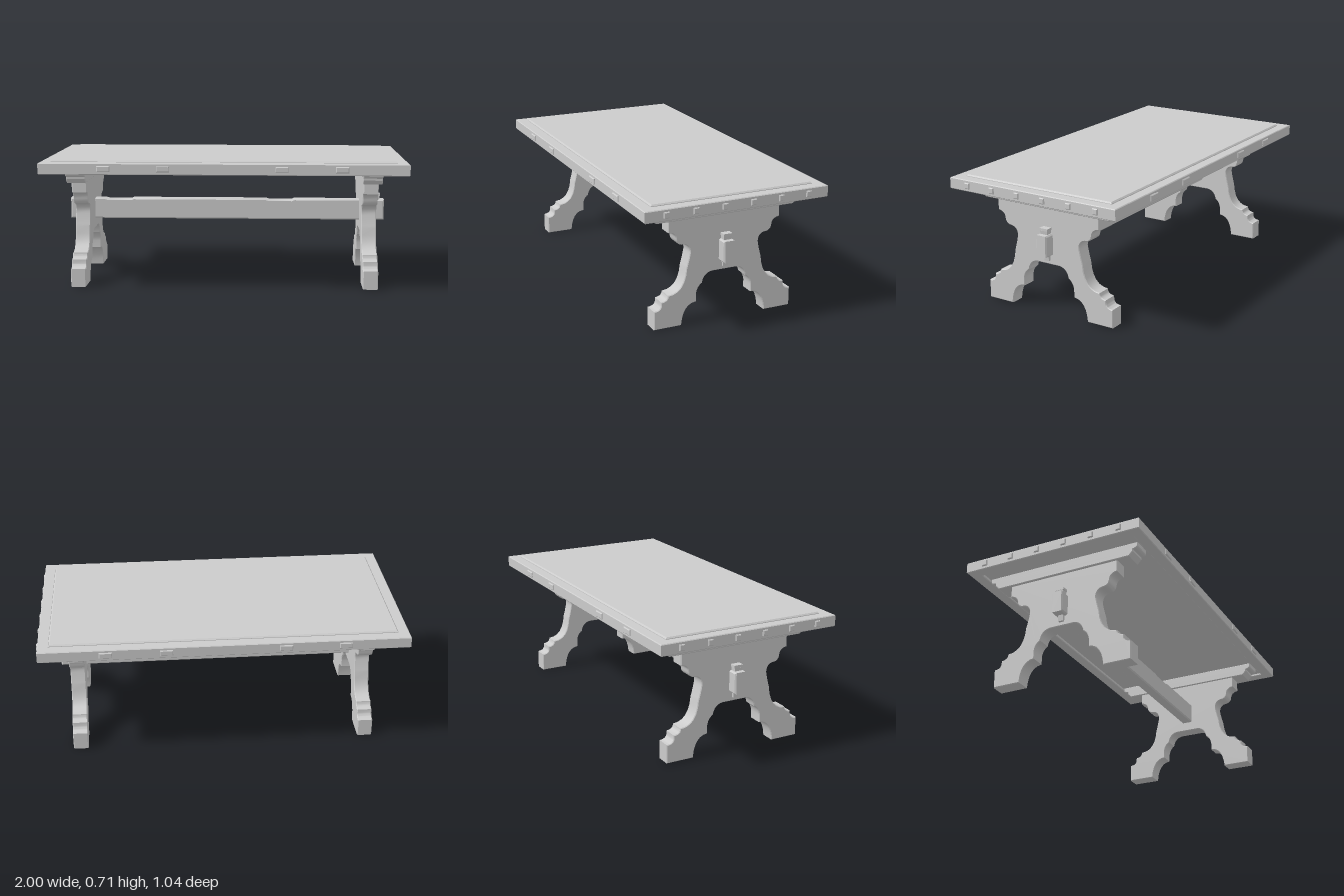
import * as THREE from 'three';
import { toCreasedNormals } from 'three/addons/utils/BufferGeometryUtils.js';

const material = new THREE.MeshStandardMaterial({ color: 0xcccccc });

function add(parent, name, geometry, x = 0, y = 0, z = 0) {
  const mesh = new THREE.Mesh(geometry, material);
  mesh.name = name;
  mesh.position.set(x, y, z);
  parent.add(mesh);
  return mesh;
}

// Extrusion centred on its depth, with small chamfers kept inside the outline
function slab(shape, thickness, bevel) {
  const geo = new THREE.ExtrudeGeometry(shape, {
    depth: thickness - 2 * bevel, bevelSize: bevel, bevelThickness: bevel,
    bevelOffset: -bevel, bevelSegments: 1, curveSegments: 6,
  });
  geo.translate(0, 0, bevel - thickness / 2);
  return toCreasedNormals(geo, 0.55);
}

function rectangle(Target, hx, hy) {
  return new Target([[-hx, -hy], [hx, -hy], [hx, hy], [-hx, hy]].map(p => new THREE.Vector2(...p)));
}

// Outline mirrored about the centre line; four numbers make a curve, two a line
function mirroredShape(start, steps) {
  const path = new THREE.Path();
  path.moveTo(...start);
  for (const s of steps) s.length === 4 ? path.quadraticCurveTo(...s) : path.lineTo(...s);
  const half = path.getPoints(6);
  const other = half.map(p => new THREE.Vector2(-p.x, p.y)).reverse();
  return new THREE.Shape([...half, ...other]);
}

// Box whose lower end is narrowed, with its inner face kept upright
function wedge(width, height, depth, lowWidth, lowDepth) {
  const geo = new THREE.BoxGeometry(width, height, depth);
  geo.translate(width / 2, 0, 0);
  const pos = geo.attributes.position;
  for (let i = 0; i < pos.count; i++) {
    if (pos.getY(i) < 0) {
      pos.setX(i, pos.getX(i) * lowWidth / width);
      pos.setZ(i, pos.getZ(i) * lowDepth / depth);
    }
  }
  geo.computeVertexNormals();
  return geo;
}

export function createModel() {
  const table = new THREE.Group();
  table.name = 'trestleTable';

  // Table top: a frame around a slightly raised panel
  const top = new THREE.Group();
  top.name = 'tableTop';
  table.add(top);
  const frameShape = rectangle(THREE.Shape, 0.992, 0.515);
  frameShape.holes.push(rectangle(THREE.Path, 0.93, 0.453));
  add(top, 'topFrame', slab(frameShape, 0.062, 0.004).rotateX(-Math.PI / 2), 0, 0.671);
  add(top, 'topPanel', slab(rectangle(THREE.Shape, 0.932, 0.455), 0.06, 0.007).rotateX(-Math.PI / 2), 0, 0.681);

  // Pegs standing proud of the frame edges
  const longPeg = slab(rectangle(THREE.Shape, 0.035, 0.016), 0.03, 0.004);
  const endPeg = slab(rectangle(THREE.Shape, 0.015, 0.016), 0.03, 0.004).rotateY(Math.PI / 2);
  for (const side of [-1, 1]) {
    for (const x of [-0.64, -0.32, 0.315, 0.635]) add(top, 'longSidePeg', longPeg, x, 0.672, side * 0.507);
    for (let i = 0; i < 6; i++) add(top, 'endPeg', endPeg, side * 0.985, 0.672, -0.4 + i * 0.16);
  }

  // Scrolled trestle, from the top corner down to the foot and up the inner arch
  const legShape = mirroredShape([0.32, 0.585], [
    [0.32, 0.517], [0.278, 0.512, 0.276, 0.478],
    [0.272, 0.443, 0.235, 0.443], [0.198, 0.438, 0.197, 0.395],
    [0.205, 0.35, 0.217, 0.311], [0.227, 0.18, 0.32, 0.178],
    [0.32, 0.15, 0.358, 0.147],
    [0.359, 0.126], [0.365, 0.102, 0.399, 0.102],
    [0.399, 0], [0.244, 0],
    [0.235, 0.115, 0.16, 0.118], [0.16, 0.16],
    [0.155, 0.2, 0.127, 0.216], [0.118, 0.268, 0.07, 0.274],
  ]);
  const legGeo = slab(legShape, 0.083, 0.004).rotateY(Math.PI / 2);

  // Moulded bearer under the top
  const cleatShape = mirroredShape([0.443, 0.652], [
    [0.443, 0.629], [0.438, 0.618, 0.416, 0.615],
    [0.415, 0.604], [0.393, 0.58],
  ]);
  const cleatGeo = slab(cleatShape, 0.106, 0.004).rotateY(Math.PI / 2);

  for (const side of [-1, 1]) {
    const trestle = new THREE.Group();
    trestle.name = side > 0 ? 'leftTrestle' : 'rightTrestle';
    trestle.rotation.y = side > 0 ? 0 : Math.PI;
    table.add(trestle);
    add(trestle, 'legBoard', legGeo, 0.804);
    add(trestle, 'bearer', cleatGeo, 0.806);
    // Tapered key through the tenon of the stretcher
    add(trestle, 'key', wedge(0.037, 0.17, 0.044, 0.015, 0.028), 0.843, 0.38);
    add(trestle, 'keyHead', wedge(0.038, 0.013, 0.05, 0.038, 0.05), 0.843, 0.472);
  }

  // Stretcher with shallow worn hollows along its top edge
  const beam = new THREE.Shape();
  beam.moveTo(-0.904, 0.328);
  beam.lineTo(0.904, 0.328);
  beam.lineTo(0.904, 0.446);
  for (const [a, b] of [[0.39, 0.225], [-0.54, -0.705]]) {
    beam.lineTo(a, 0.446);
    beam.lineTo(a - 0.015, 0.44);
    beam.lineTo(b + 0.02, 0.44);
    beam.lineTo(b, 0.446);
  }
  beam.lineTo(-0.904, 0.446);
  add(table, 'stretcher', slab(beam, 0.066, 0.007));

  return table;
}
